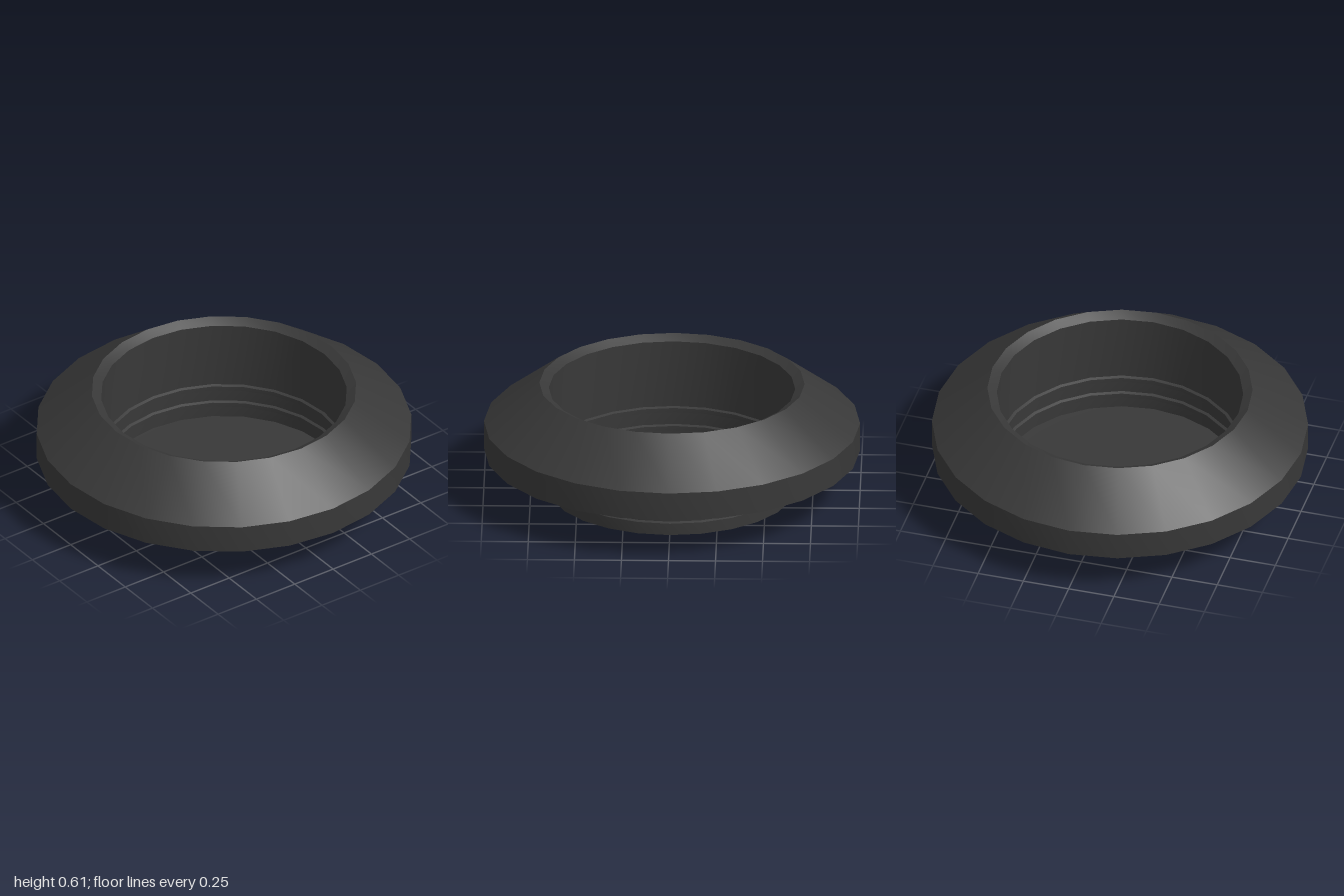
import * as THREE from 'three';
import { toCreasedNormals } from 'three/addons/utils/BufferGeometryUtils.js';

const SIDES = 24;
const CUP_R = 0.655;
const GROOVE_R = 0.64;

export function createModel() {
  const group = new THREE.Group();
  group.name = 'flangedCap';
  const material = new THREE.MeshStandardMaterial({ color: 0x383838, side: THREE.DoubleSide });

  // Faceted outline, smooth around the axis, sharp along the profile
  const addTurned = (name, profile) => {
    const points = profile.map(([r, y]) => new THREE.Vector2(r, y));
    const geometry = toCreasedNormals(new THREE.LatheGeometry(points, SIDES), 0.45);
    const mesh = new THREE.Mesh(geometry, material);
    mesh.name = name;
    group.add(mesh);
  };

  // Thin cup: slightly dished floor, two grooves, wall up to the rim
  const cup = [[0, 0], [0.57, 0], [CUP_R, 0.005]];
  for (const y of [0.07, 0.173]) {
    cup.push([CUP_R, y], [GROOVE_R, y + 0.006], [GROOVE_R, y + 0.03], [CUP_R, y + 0.036]);
  }
  cup.push([CUP_R, 0.58]);
  addTurned('cup', cup);

  // Wide collar: recess below, outer band, sloping top and chamfered rim
  addTurned('collar', [
    [CUP_R, 0.55], [0.758, 0.55], [0.758, 0.23], [1, 0.23],
    [1, 0.385], [0.705, 0.608], [CUP_R, 0.58],
  ]);

  return group;
}
